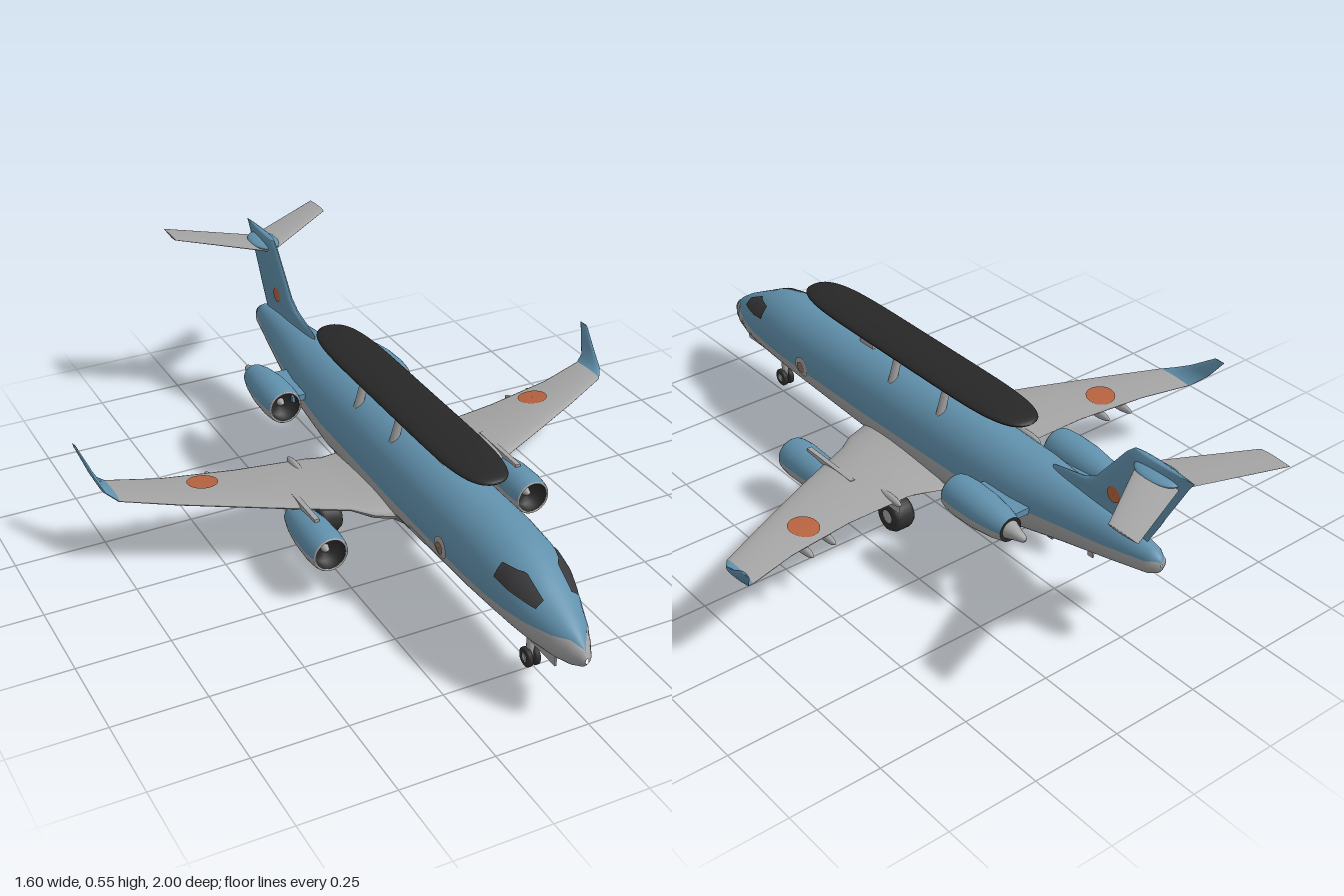
import * as THREE from 'three';

const mat = (name, color, side = THREE.FrontSide) => {
  const m = new THREE.MeshStandardMaterial({ color, side });
  m.name = name;
  return m;
};
const lerp = THREE.MathUtils.lerp;

// Skin a list of rows of [x, y, z] points
function grid(rows) {
  const n = rows[0].length, index = [];
  for (let i = 0; i < rows.length - 1; i++)
    for (let j = 0; j < n - 1; j++) {
      const a = i * n + j, b = a + n;
      index.push(a, b, a + 1, b, b + 1, a + 1);
    }
  const g = new THREE.BufferGeometry();
  g.setAttribute('position', new THREE.Float32BufferAttribute(rows.flat(2), 3));
  g.setIndex(index);
  g.computeVertexNormals();
  return g;
}

// Mirror a geometry across x = 0 with correct winding
function mirror(g) {
  const m = g.clone().scale(-1, 1, 1), ix = m.index.array;
  for (let i = 0; i < ix.length; i += 3) [ix[i], ix[i + 1]] = [ix[i + 1], ix[i]];
  m.computeVertexNormals();
  return m;
}

// Interpolate a table keyed by a falling first column
function sample(table, z) {
  let i = 0;
  while (i < table.length - 2 && z < table[i + 1][0]) i++;
  const a = table[i], b = table[i + 1];
  const t = THREE.MathUtils.clamp((a[0] - z) / (a[0] - b[0]), 0, 1);
  return a.map((v, k) => lerp(v, b[k], t));
}

// Fuselage stations: z, half width, bottom, top, paint line height
const HULL = [
  [1, 0.004, 0.18, 0.195, 0.25], [0.99, 0.018, 0.167, 0.212, 0.235], [0.96, 0.036, 0.153, 0.236, 0.228],
  [0.92, 0.054, 0.145, 0.262, 0.226], [0.85, 0.078, 0.14, 0.298, 0.225], [0.78, 0.094, 0.138, 0.333, 0.224],
  [0.7, 0.103, 0.135, 0.353, 0.222], [0.6, 0.108, 0.13, 0.361, 0.22], [0.2, 0.109, 0.112, 0.362, 0.225],
  [-0.2, 0.108, 0.112, 0.361, 0.235], [-0.4, 0.099, 0.142, 0.356, 0.25], [-0.55, 0.076, 0.178, 0.348, 0.262],
  [-0.7, 0.052, 0.21, 0.334, 0.272], [-0.82, 0.031, 0.238, 0.312, 0.285], [-0.845, 0.02, 0.252, 0.297, 0.29],
  [-0.85, 0.001, 0.27, 0.28, 0.3],
];
const hullX = (z, y) => {
  const [, w, b, t] = sample(HULL, z);
  return w * Math.sqrt(Math.max(0, 1 - ((2 * y - b - t) / (t - b)) ** 2));
};
function hullHalf(upper) {
  return grid(HULL.map(([z, w, b, t, line]) => {
    const cy = (b + t) / 2, h = (t - b) / 2;
    const s = Math.asin(THREE.MathUtils.clamp((line - cy) / h, -0.999, 0.999));
    const from = upper ? s : Math.PI - s, to = upper ? Math.PI - s : 2 * Math.PI + s;
    return Array.from({ length: 25 }, (_, j) => {
      const a = lerp(from, to, j / 24);
      return [w * Math.cos(a), cy + h * Math.sin(a), z];
    });
  }));
}

// Aerofoil loft; sections: x, y, leading z, trailing z, thickness, cant
const foilHeight = (f, t) => 1.3 * t * Math.sqrt(f) * (1 - f);
function foil(sections) {
  const last = [...sections[sections.length - 1]];
  last[4] = 0;
  return grid([...sections, last].map(([x, y, le, te, t, cant = 0]) =>
    Array.from({ length: 25 }, (_, j) => {
      const th = (j / 24) * 2 * Math.PI, f = (1 - Math.cos(th)) / 2;
      const h = foilHeight(f, t) * (j > 12 ? -1 : 1);
      return [x - Math.sin(cant) * h, y + Math.cos(cant) * h, lerp(le, te, f)];
    })));
}
const WING = [
  [0.05, 0.155, 0.24, -0.16, 0.08], [0.15, 0.165, 0.2, -0.137, 0.055], [0.2, 0.175, 0.16, -0.135, 0.036],
  [0.4, 0.187, 0.065, -0.15, 0.026], [0.6, 0.197, -0.035, -0.185, 0.02], [0.74, 0.206, -0.11, -0.23, 0.014, 0.2],
];
const WINGLET = [
  [0.74, 0.206, -0.11, -0.23, 0.014, 0.2], [0.764, 0.219, -0.145, -0.245, 0.012, 0.9],
  [0.777, 0.245, -0.195, -0.27, 0.01, 1.2], [0.795, 0.295, -0.27, -0.305, 0.006, 1.25],
];

export function createModel() {
  const blue = mat('sky blue paint', 0x6191ad), blueOpen = mat('nacelle blue', 0x6191ad, THREE.DoubleSide);
  const grey = mat('light grey paint', 0xa4a4a4), black = mat('radome black', 0x272727);
  const rubber = mat('tyre rubber', 0x303030), glass = mat('cockpit glass', 0x3a3a3c, THREE.DoubleSide);
  const red = mat('roundel red', 0xb5623f, THREE.DoubleSide), faded = mat('faded roundel', 0x8f7263, THREE.DoubleSide);

  const model = new THREE.Group(), body = new THREE.Group();
  model.name = 'aircraft';
  body.name = 'airframe';
  body.position.x = -0.016;
  model.add(body);
  const add = (name, geo, m, pos = [0, 0, 0], parent = body) => {
    const mesh = new THREE.Mesh(geo, m);
    mesh.name = name;
    mesh.position.set(...pos);
    parent.add(mesh);
    return mesh;
  };
  const both = (name, geo, m, parent = body) => {
    add(name + 'Left', geo, m, [0, 0, 0], parent);
    add(name + 'Right', mirror(geo), m, [0, 0, 0], parent);
  };
  const rod = (a, b, r) => {
    const p = new THREE.Vector3(...a), d = new THREE.Vector3(...b).sub(p);
    const q = new THREE.Quaternion().setFromUnitVectors(new THREE.Vector3(0, 1, 0), d.clone().normalize());
    p.addScaledVector(d, 0.5);
    return new THREE.CylinderGeometry(r, r, d.length(), 12).applyQuaternion(q).translate(p.x, p.y, p.z);
  };
  const box = (w, h, d, x, y, z) => new THREE.BoxGeometry(w, h, d).translate(x, y, z);
  const blob = (rx, ry, rz, x, y, z) => new THREE.SphereGeometry(1, 20, 14).scale(rx, ry, rz).translate(x, y, z);
  // Flat disc whose vertices are moved onto a surface
  const decal = (r, rule) => {
    const g = new THREE.RingGeometry(0.0005, r, 24, 5), p = g.attributes.position;
    for (let i = 0; i < p.count; i++) p.setXYZ(i, ...rule(p.getX(i), p.getY(i)));
    g.computeVertexNormals();
    return g;
  };

  // Fuselage
  add('fuselageTop', hullHalf(true), blue);
  add('fuselageBelly', hullHalf(false), grey);
  add('bellyFairing', blob(0.115, 0.05, 0.27, 0, 0.15, 0.02), grey);
  const windowRows = Array.from({ length: 15 }, (_, i) => {
    const z = lerp(0.865, 0.73, i / 14);
    const low = lerp(0.264, 0.284, i / 14), high = Math.min(0.318, sample(HULL, z)[3] - 0.009);
    return Array.from({ length: 7 }, (_, j) => {
      const y = lerp(low, high, j / 6);
      return [hullX(z, y) + 0.003, y + 0.003, z];
    });
  });
  both('cockpitWindow', grid(windowRows), glass);
  both('sidePort', decal(0.03, (u, v) => [hullX(0.5 - u, 0.236 + v) + 0.003, 0.236 + v, 0.5 - u]), grey);
  both('sideRoundel', decal(0.017, (u, v) => [hullX(0.5 - u, 0.236 + v) + 0.006, 0.236 + v, 0.5 - u]), faded);
  add('bellyRoundel', decal(0.06, (u, v) => {
    const y = 0.15 - 0.05 * Math.sqrt(1 - (u / 0.115) ** 2 - ((v - 0.05) / 0.27) ** 2);
    return [u, y - 0.003, v - 0.03];
  }), faded);

  // Radar housing on splayed struts
  add('radarHousing', grid(Array.from({ length: 41 }, (_, i) => {
    const c = Math.cos((i / 40) * Math.PI), r = Math.max(0.001, 1 - c ** 6) ** 0.4;
    return Array.from({ length: 33 }, (_, j) => {
      const a = (j / 32) * 2 * Math.PI;
      return [0.075 * r * Math.cos(a), 0.434 + 0.018 * r * Math.sin(a), 0.105 + 0.475 * c];
    });
  })), black);
  for (const z of [0.14, -0.07]) both('radarStrut', rod([0.058, 0.32, z], [0.026, 0.428, z], 0.012), grey);

  // Wings, winglets and their fittings
  const wings = new THREE.Group();
  wings.name = 'wings';
  wings.position.x = 0.014;
  body.add(wings);
  both('wing', foil(WING), grey, wings);
  both('winglet', foil(WINGLET), blue, wings);
  both('wingRoundel', decal(0.042, (u, v) => {
    const x = 0.51 + u, z = -0.108 - v;
    const [, y, le, te, t] = sample(WING.map(([sx, ...s]) => [-sx, ...s]), -x);
    const f = THREE.MathUtils.clamp((le - z) / (le - te), 0, 1);
    return [x, y + foilHeight(f, t) + 0.003, z];
  }), red, wings);
  for (const [x, z] of [[0.24, -0.11], [0.47, -0.14], [0.545, -0.15]])
    both('flapFairing', blob(0.011, 0.013, 0.05, x, 0.177, z), grey, wings);

  // Tail
  const up = Math.PI / 2;
  add('fin', foil([
    [0, 0.3, -0.44, -0.79, 0.018, up], [0, 0.362, -0.46, -0.825, 0.02, up], [0, 0.385, -0.57, -0.838, 0.026, up],
    [0, 0.41, -0.615, -0.85, 0.028, up], [0, 0.53, -0.71, -0.915, 0.024, up], [0, 0.552, -0.735, -0.93, 0.02, up],
  ]), blue);
  add('tailBullet', blob(0.042, 0.012, 0.07, 0, 0.523, -0.815), blue);
  both('tailplane', foil([[0, 0.514, -0.745, -0.885, 0.016], [0.243, 0.537, -0.905, -1, 0.008]]), grey);
  both('finRoundel', decal(0.022, (u, v) => [0.0155, 0.4 + v, -0.69 - u]), red);

  // Engines: local origin at the intake lip
  const lathe = (pts, from = 0, len = 2 * Math.PI) =>
    new THREE.LatheGeometry(pts.map(([z, r]) => new THREE.Vector2(r, z)), len > 4 ? 32 : 16, from, len).rotateX(up);
  const shell = [[-0.22, 0.034], [-0.18, 0.044], [-0.12, 0.052], [-0.05, 0.054], [-0.015, 0.051], [-0.004, 0.048]];
  const engine = (name, x, y, z) => {
    const g = new THREE.Group();
    g.name = name;
    g.position.set(x, y, z);
    body.add(g);
    const o = [0, 0, 0];
    add('nacelleTop', lathe(shell, up, Math.PI), blueOpen, o, g);
    add('nacelleBottom', lathe(shell, -up, Math.PI), grey, o, g);
    add('intakeLip', lathe([[-0.004, 0.048], [0, 0.045], [-0.004, 0.042]]), grey, o, g);
    add('intakeDuct', lathe([[-0.004, 0.042], [-0.04, 0.04], [-0.042, 0.0005]]), black, o, g);
    add('spinner', lathe([[-0.045, 0.012], [-0.03, 0.008], [-0.022, 0.0005]]), grey, o, g);
    add('exhaustRing', lathe([[-0.215, 0.0005], [-0.22, 0.034]]), black, o, g);
    add('exhaustCone', lathe([[-0.276, 0.0005], [-0.272, 0.009], [-0.24, 0.018], [-0.215, 0.026]]), grey, o, g);
  };
  for (const s of [1, -1]) {
    const side = s > 0 ? 'Left' : 'Right';
    engine('rearEngine' + side, 0.173 * s, 0.259, -0.28);
    engine('wingEngine' + side, 0.3 * s, 0.136, 0.275);
  }
  both('rearPylon', box(0.07, 0.018, 0.16, 0.105, 0.262, -0.39), blue);
  both('wingPylon', box(0.014, 0.05, 0.2, 0.3, 0.172, 0.09), grey);

  // Landing gear
  const wheel = (r, w, x, y, z) => {
    const pts = [[0.4, -0.5], [0.85, -0.5], [1, -0.3], [1, 0.3], [0.85, 0.5], [0.4, 0.5]];
    return new THREE.LatheGeometry(pts.map(([a, b]) => new THREE.Vector2(a * r, b * w)), 24)
      .rotateZ(up).translate(x, y, z);
  };
  const hub = (r, w, x, y, z) => rod([x - w / 2, y, z], [x + w / 2, y, z], r);
  both('mainWheel', wheel(0.048, 0.062, 0.173, 0.048, -0.03), rubber);
  both('mainHub', hub(0.022, 0.058, 0.173, 0.048, -0.03), grey);
  both('mainStrut', rod([0.173, 0.06, -0.03], [0.165, 0.17, -0.03], 0.013), grey);
  both('mainBrace', rod([0.17, 0.095, -0.03], [0.09, 0.15, -0.01], 0.007), grey);
  both('mainDoor', box(0.006, 0.07, 0.11, 0.212, 0.135, -0.045), grey);
  both('noseWheel', wheel(0.026, 0.014, 0.0105, 0.043, 0.76), rubber);
  add('noseAxle', hub(0.009, 0.038, 0, 0.043, 0.76), grey);
  add('noseStrut', rod([0, 0.043, 0.76], [0, 0.16, 0.755], 0.01), grey);
  both('noseDoor', box(0.005, 0.03, 0.11, 0.025, 0.137, 0.855), grey);

  // Aerials
  for (const [y, z] of [[0.12, 0.57], [0.115, 0.41], [0.1, 0.12], [0.1, -0.17], [0.15, -0.46], [0.18, -0.61]])
    add('bellyAerial', box(0.006, 0.035, 0.018, 0, y, z), grey);
  add('dorsalFairing', box(0.03, 0.018, 0.06, 0, 0.364, 0.31), grey);
  return model;
}
